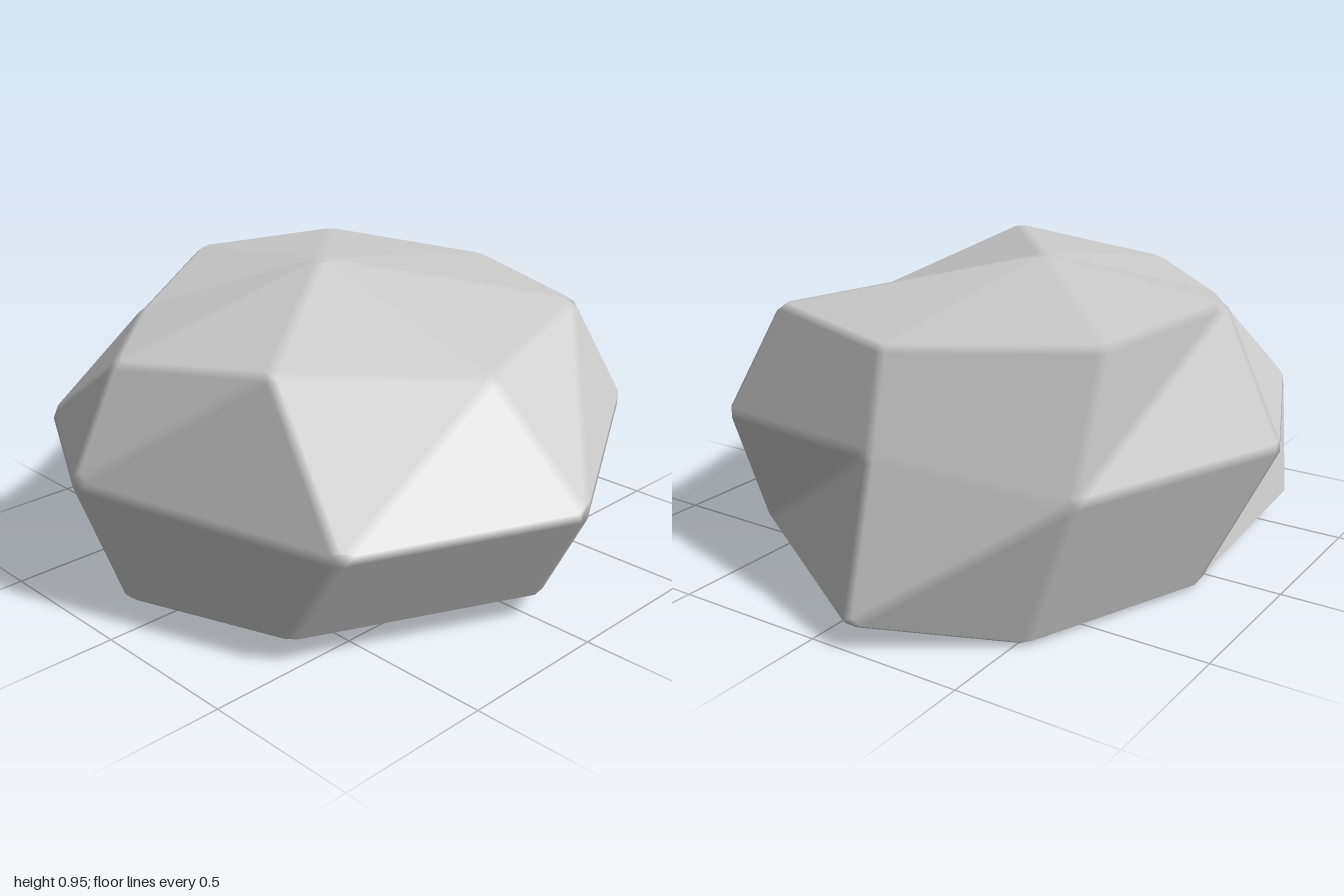
import * as THREE from 'three';

const V = (x, y, z) => new THREE.Vector3(x, y, z);

// Cross-section rings of the boulder, eight corners each, starting at +x and turning towards -z
const upper = [[0.6, 0.73, 0], [0.47, 0.83, -0.57], [-0.11, 0.835, -0.795], [-0.69, 0.87, -0.57],
  [-0.775, 0.885, 0], [-0.53, 0.8, 0.44], [-0.13, 0.8, 0.84], [0.43, 0.88, 0.725]];
const middle = [[0.975, 0.4, 0], [0.585, 0.49, -0.71], [-0.13, 0.55, -0.885], [-0.69, 0.47, -0.72],
  [-0.975, 0.47, 0], [-0.69, 0.46, 0.72], [-0.13, 0.47, 1.012], [0.69, 0.41, 0.72]];
const lower = [[0.81, 0.075, 0], [0.57, 0.075, -0.57], [-0.13, 0.075, -1.012], [-0.53, 0, -0.7],
  [-0.765, 0, -0.1], [-0.77, 0.075, 0.6], [-0.04, 0.075, 0.9], [0.48, 0.075, 0.715]];

const triangleNormal = (a, b, c) => b.clone().sub(a).cross(c.clone().sub(a)).normalize();

// Builds a polygon solid whose edges and corners are narrowly bevelled and smoothly shaded
function beveledSolid(points, faces, width) {
  const positions = [], normals = [], index = [];
  const corner = {};   // "face,vertex" -> inset vertex number
  const edgeFace = {}; // "from,to" -> face on the left of that edge
  const fan = (ids) => {
    for (let i = 1; i < ids.length - 1; i++) index.push(ids[0], ids[i], ids[i + 1]);
  };

  // Flat faces, inset from their edges
  faces.forEach((face, f) => {
    const n = face.length;
    const p = face.map((v) => points[v]);
    const normal = triangleNormal(p[0], p[1], p[2]);
    if (n === 4) normal.add(triangleNormal(p[0], p[2], p[3])).normalize();
    const ids = face.map((v, i) => {
      const a = p[(i + 1) % n].clone().sub(p[i]).normalize();
      const b = p[(i + n - 1) % n].clone().sub(p[i]).normalize();
      const inset = a.clone().add(b).multiplyScalar(width / a.clone().cross(b).length()).add(p[i]);
      edgeFace[[v, face[(i + 1) % n]]] = f;
      corner[[f, v]] = positions.length / 3;
      positions.push(...inset.toArray());
      normals.push(...normal.toArray());
      return corner[[f, v]];
    });
    fan(ids);
  });

  // Bevel strip along every edge
  for (const key of Object.keys(edgeFace)) {
    const [a, b] = key.split(',').map(Number);
    if (a > b) continue;
    const f = edgeFace[[a, b]], g = edgeFace[[b, a]];
    fan([corner[[f, a]], corner[[g, a]], corner[[g, b]], corner[[f, b]]]);
  }

  // Small cap on every corner
  points.forEach((_, v) => {
    const start = faces.findIndex((face) => face.includes(v));
    const ids = [];
    let f = start;
    do {
      ids.push(corner[[f, v]]);
      const face = faces[f];
      const previous = face[(face.indexOf(v) + face.length - 1) % face.length];
      f = edgeFace[[v, previous]];
    } while (f !== start);
    fan(ids);
  });

  const geometry = new THREE.BufferGeometry();
  geometry.setAttribute('position', new THREE.Float32BufferAttribute(positions, 3));
  geometry.setAttribute('normal', new THREE.Float32BufferAttribute(normals, 3));
  geometry.setIndex(index);
  return geometry;
}

export function createModel() {
  const points = [...upper, ...middle, ...lower].map((p) => V(...p));
  points.push(V(-0.14, 0.96, 0), V(-0.13, 0.075, 0)); // peak and underside centre
  const peak = 24, base = 25;
  const faces = [];

  // A side facet, broken along its diagonal where it is clearly bent
  const addFacet = (a, b, c, d) => {
    const [p, q, r, s] = [a, b, c, d].map((v) => points[v]);
    const bend = triangleNormal(p, q, r).angleTo(triangleNormal(p, r, s));
    if (bend > 0.25) faces.push([a, b, c], [a, c, d]);
    else faces.push([a, b, c, d]);
  };

  // Crown fan, two bands of side facets, underside fan
  for (let k = 0; k < 8; k++) {
    const n = (k + 1) % 8;
    faces.push([peak, k, n], [base, 16 + n, 16 + k]);
    addFacet(8 + k, 8 + n, n, k);
    addFacet(16 + k, 16 + n, 8 + n, 8 + k);
  }

  const boulder = new THREE.Mesh(
    beveledSolid(points, faces, 0.018),
    new THREE.MeshStandardMaterial({ color: 0xcccccc }),
  );
  boulder.name = 'boulder';
  const group = new THREE.Group();
  group.name = 'rock';
  group.add(boulder);
  return group;
}
